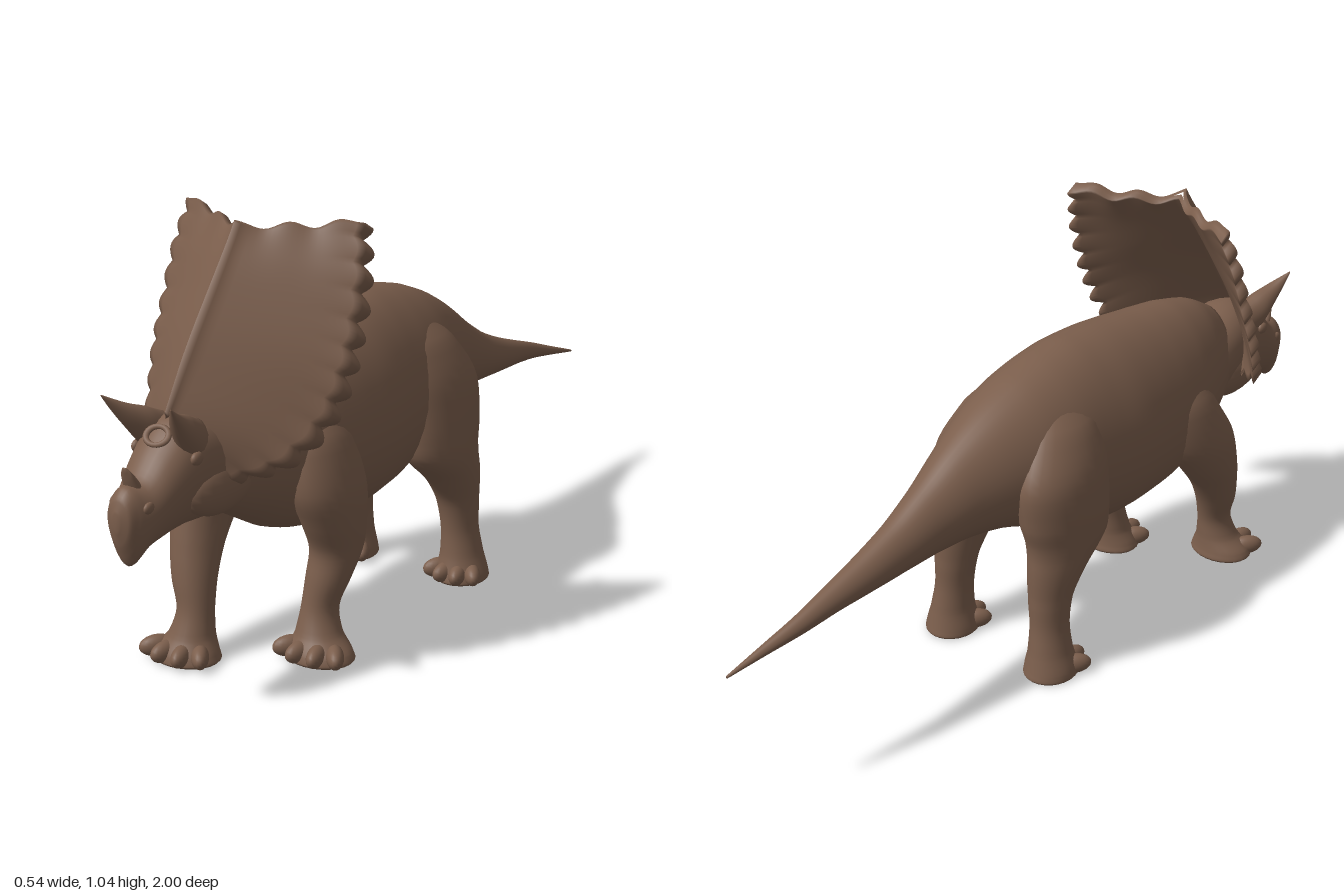
import * as THREE from 'three';

const V = (x, y, z) => new THREE.Vector3(x, y, z);
const hide = new THREE.MeshStandardMaterial({ color: 0x7b5e4c });
hide.name = 'brown hide';

// Closed rings joined into a smooth skin; optional centre-point caps
function skin(rings, capped = true) {
  const n = rings[0].length, m = rings.length, pos = [], idx = [];
  rings.forEach(r => r.forEach(p => pos.push(p.x, p.y, p.z)));
  for (let i = 0; i < m - 1; i++) for (let j = 0; j < n; j++) {
    const a = i * n + j, b = i * n + (j + 1) % n;
    idx.push(a, b, a + n, b, b + n, a + n);
  }
  if (capped) [0, m - 1].forEach(i => {
    const c = rings[i].reduce((s, p) => s.add(p), V(0, 0, 0)).divideScalar(n);
    const k = pos.length / 3;
    pos.push(c.x, c.y, c.z);
    for (let j = 0; j < n; j++) {
      const a = i * n + j, b = i * n + (j + 1) % n;
      i === 0 ? idx.push(k, b, a) : idx.push(k, a, b);
    }
  });
  const g = new THREE.BufferGeometry();
  g.setAttribute('position', new THREE.Float32BufferAttribute(pos, 3));
  g.setIndex(idx);
  g.computeVertexNormals();
  return g;
}

// Elliptical sections [x, y, z, radius x, other radius], smoothed along the path.
// Upright limbs run top to bottom; other shapes run towards +z.
function loft(sections, { upright = false, taper = 0, sides = 28, steps = 5 } = {}) {
  const centre = new THREE.CatmullRomCurve3(sections.map(s => V(s[0], s[1], s[2])));
  const radius = new THREE.CatmullRomCurve3(sections.map(s => V(s[3], s[4], 0)));
  const count = (sections.length - 1) * steps, rings = [];
  for (let i = 0; i <= count; i++) {
    const c = centre.getPoint(i / count), r = radius.getPoint(i / count), ring = [];
    for (let j = 0; j < sides; j++) {
      const a = j / sides * Math.PI * 2;
      const x = Math.max(r.x, 0.001) * Math.cos(a) * (1 - taper * Math.sin(a));
      const w = Math.max(r.y, 0.001) * Math.sin(a);
      ring.push(upright ? V(c.x + x, Math.max(0, c.y), c.z + w) : V(c.x + x, c.y + w, c.z));
    }
    rings.push(ring);
  }
  return skin(rings);
}

// Profile rows [z, top, bottom, half width, x] to sections
const profile = rows => rows.map(([z, t, b, w, x = 0]) => [x, (t + b) / 2, z, w, (t - b) / 2]);

export function createModel() {
  const model = new THREE.Group();
  model.name = 'hornedDinosaur';
  const add = (name, geometry, parent = model) => {
    const mesh = new THREE.Mesh(geometry, hide);
    mesh.name = name;
    parent.add(mesh);
    return mesh;
  };
  const blob = (name, p, s, parent) => {
    const mesh = add(name, new THREE.SphereGeometry(1, 20, 14), parent);
    mesh.position.copy(p);
    mesh.scale.set(...s);
    return mesh;
  };

  // Body and tail
  add('bodyAndTail', loft(profile([
    [-1, .363, .357, .003, .02], [-.9, .396, .372, .013, .01], [-.8, .43, .385, .022],
    [-.7, .461, .395, .032], [-.6, .494, .4, .043], [-.5, .535, .405, .054],
    [-.4, .592, .41, .07], [-.3, .657, .41, .095], [-.2, .712, .395, .128],
    [-.1, .752, .36, .16], [0, .777, .315, .178], [.1, .79, .28, .185], [.2, .787, .27, .192],
    [.3, .777, .272, .186], [.4, .765, .28, .175], [.5, .752, .31, .156],
    [.6, .725, .365, .125], [.68, .68, .41, .09],
  ]), { taper: .1, sides: 36 }));

  // Head with hooked beak
  add('head', loft(profile([
    [.55, .64, .38, .11], [.65, .645, .40, .105], [.75, .665, .41, .092], [.82, .655, .413, .082],
    [.88, .605, .407, .07], [.93, .555, .395, .056], [.965, .55, .372, .044],
    [.99, .53, .42, .03], [1, .5, .46, .008],
  ]), { taper: -.16 }));
  add('noseHorn', loft([
    [0, .515, .925, .024, .03], [0, .545, .945, .022, .026], [0, .572, .96, .015, .016],
    [0, .588, .968, .005, .005],
  ], { sides: 14 }));
  const opening = add('foreheadOpening', new THREE.TorusGeometry(.022, .006, 8, 20));
  opening.position.set(0, .63, .856);
  opening.rotation.x = -.75;
  opening.scale.set(1.3, 1, 1);

  for (const s of [1, -1]) {
    const side = s > 0 ? 'left' : 'right';
    add(side + 'BrowHorn', loft([
      [s * .045, .605, .775, .03, .05], [s * .054, .628, .82, .035, .048],
      [s * .067, .665, .868, .024, .029], [s * .082, .698, .902, .011, .013],
      [s * .092, .72, .922, .002, .002],
    ], { sides: 16 }));
    blob(side + 'Eye', V(s * .08, .585, .825), [.01, .015, .018]);
    blob(side + 'Nostril', V(s * .045, .505, .945), [.008, .013, .017]);
    blob(side + 'Cheek', V(s * .058, .495, .72), [.045, .068, .12]);
  }

  // Frill: a V-folded shield with a thick scalloped rim and a wavy top
  const ridge = new THREE.CatmullRomCurve3([
    V(0, .66, .81), V(0, .78, .735), V(0, .91, .637), V(0, 1.02, .55)]);
  const rim = new THREE.CatmullRomCurve3([
    V(.095, .515, .725), V(.178, .548, .66), V(.23, .625, .58), V(.25, .72, .53),
    V(.252, .82, .487), V(.246, .93, .45), V(.226, 1.03, .418)]);
  const rows = 88, cols = 48, lobes = 11, rings = [];
  for (let i = -1; i <= rows + 1; i++) {
    const v = Math.min(1, Math.max(0, i / rows));
    const thick = i < 0 || i > rows ? 0 : .013;
    const c = ridge.getPoint(v), e = rim.getPoint(v), ring = [];
    const lobe = Math.abs(Math.sin(lobes * Math.PI * (v + .5 / lobes)));
    const point = (u, f) => {
      const out = Math.abs(u), edge = out ** 12;
      const p = c.clone().lerp(e, out * (1 + .075 * lobe * edge));
      p.x *= Math.sign(u);
      p.y += .008 * v ** 12 * Math.cos(u * 15);
      const bump = f > 0 ? .01 * Math.exp(-((u / .035) ** 2)) : 0;
      const bow = .015 * (.9 - 1.7 * v) * Math.sin(Math.PI * out);
      return p.add(V(0, .5, .85).multiplyScalar(f * thick * (1 + .5 * lobe * edge) + bump + bow));
    };
    for (let j = 0; j <= cols; j++) ring.push(point(j / cols * 2 - 1, 1));
    for (let j = cols; j >= 0; j--) ring.push(point(j / cols * 2 - 1, -1));
    rings.push(ring);
  }
  add('frill', skin(rings, false));

  // Legs, with toes along the front of each foot
  const fore = [
    [.09, .62, .42, .03, .05], [.115, .53, .43, .07, .1], [.138, .42, .425, .076, .113],
    [.147, .33, .41, .068, .092], [.146, .26, .4, .06, .07], [.137, .19, .42, .053, .055],
    [.124, .12, .436, .044, .046], [.128, .06, .448, .056, .054], [.136, .025, .457, .08, .066],
    [.137, .006, .458, .087, .07], [.137, 0, .458, .082, .066],
  ];
  const hind = [
    [.08, .71, -.01, .02, .05], [.105, .64, -.03, .065, .11], [.13, .53, -.06, .085, .145],
    [.144, .43, -.06, .081, .14], [.152, .36, -.06, .074, .125], [.158, .29, -.1, .063, .088],
    [.16, .22, -.125, .052, .062], [.163, .14, -.133, .046, .054], [.168, .07, -.136, .053, .06],
    [.17, .025, -.135, .065, .07], [.17, .006, -.135, .067, .074], [.17, 0, -.135, .063, .07],
  ];
  const leg = (name, sections) => {
    const group = new THREE.Group();
    group.name = name;
    model.add(group);
    add('limb', loft(sections, { upright: true, sides: 24 }), group);
    const [x, , z, rx, rz] = sections[sections.length - 2];
    for (let i = 0; i < 4; i++) {
      const a = (i - 1.5) * .6;
      const toe = blob('toe', V(x + Math.sin(a) * rx * .92, .026, z + Math.cos(a) * rz * .72),
        [.021, .026, .043], group);
      toe.rotation.y = a * .7;
    }
  };
  // The right foreleg strides forward; the right hind leg stands slightly inward
  const stride = y => .165 * Math.min(1, Math.max(0, (.5 - y) / .25));
  leg('leftForeleg', fore);
  leg('rightForeleg', fore.map(([x, y, z, a, b]) => [.08 * stride(y) - x, y, z + stride(y), a, b]));
  leg('leftHindLeg', hind);
  leg('rightHindLeg', hind.map(([x, y, z, a, b]) =>
    [-x + .1 * stride(y), y, z + .08 * stride(y), a, b]));

  return model;
}
